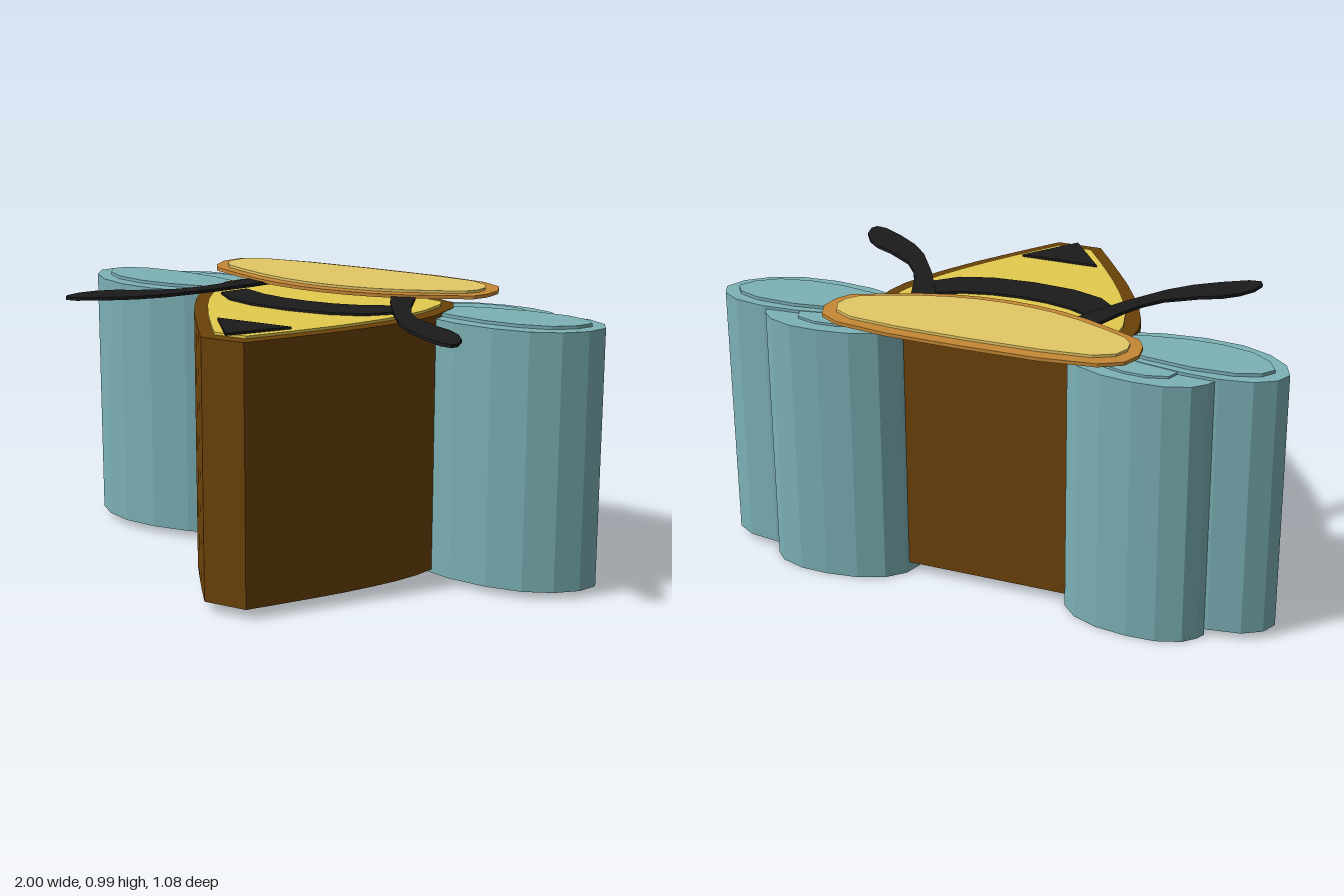
import * as THREE from 'three';

const mat = (name, color) => {
  const m = new THREE.MeshStandardMaterial({ color });
  m.name = name;
  return m;
};

export function createModel() {
  const group = new THREE.Group();
  const brown = mat('brown', 0x6b4208);
  const yellow = mat('yellow', 0xe3ca4c);
  const black = mat('black', 0x1b1b1b);
  const orange = mat('orange', 0xc68836);
  const tan = mat('tan', 0xe4c866);
  const teal = mat('teal', 0x7cb1b6);

  // Upright slab from y0 to y1 over an outline of [x, z] points
  function slab(name, pts, y0, y1, material) {
    const shape = new THREE.Shape(pts.map(([x, z]) => new THREE.Vector2(x, -z)));
    const geo = new THREE.ExtrudeGeometry(shape, { depth: y1 - y0, bevelEnabled: false });
    geo.rotateX(-Math.PI / 2);
    const mesh = new THREE.Mesh(geo, material);
    mesh.name = name;
    mesh.position.y = y0;
    group.add(mesh);
  }
  const flip = (pts) => pts.map(([x, z]) => [-x, z]);
  // Completes a half outline across x = 0
  const whole = (half) => [...half, ...flip(half.filter(([x]) => x > 0)).reverse()];
  const pair = (name, pts, y0, y1, material) => {
    slab('left' + name, pts, y0, y1, material);
    slab('right' + name, flip(pts), y0, y1, material);
  };

  // Body column with its yellow top and dark markings
  slab('body', whole([[0.36, -0.345], [0.42, -0.315], [0.45, -0.25], [0.45, -0.11], [0.43, -0.03],
    [0.392, 0.06], [0.343, 0.15], [0.283, 0.25], [0.215, 0.35], [0.145, 0.45], [0.08, 0.54]]),
    0.036, 0.943, brown);
  slab('bodyTop', whole([[0.33, -0.295], [0.39, -0.28], [0.408, -0.235], [0.4, -0.12], [0.375, -0.03],
    [0.338, 0.06], [0.29, 0.15], [0.235, 0.24], [0.175, 0.33], [0.115, 0.415], [0.06, 0.49]]),
    0.943, 0.952, yellow);
  slab('stripe', whole([[0, -0.033], [0.1, -0.04], [0.19, -0.062], [0.285, -0.107], [0.335, -0.015],
    [0.26, 0.055], [0.15, 0.092], [0, 0.104]]), 0.952, 0.96, black);
  slab('stinger', [[-0.14, 0.335], [0.14, 0.335], [0, 0.52]], 0.952, 0.96, black);

  // Head plate and face
  slab('head', whole([[0, -0.54], [0.26, -0.535], [0.45, -0.51], [0.525, -0.465], [0.55, -0.4],
    [0.54, -0.33], [0.51, -0.28], [0.42, -0.238], [0.3, -0.185], [0.2, -0.155], [0.1, -0.138],
    [0, -0.132]]), 0.971, 0.983, orange);
  slab('face', whole([[0, -0.495], [0.25, -0.49], [0.42, -0.472], [0.487, -0.435], [0.507, -0.385],
    [0.5, -0.34], [0.47, -0.302], [0.4, -0.268], [0.28, -0.22], [0.18, -0.192], [0.09, -0.178],
    [0, -0.174]]), 0.983, 0.992, tan);

  // Curved feelers
  pair('Antenna', [[0.24, -0.19], [0.25, -0.225], [0.29, -0.242], [0.325, -0.21], [0.38, -0.06],
    [0.42, 0.02], [0.47, 0.085], [0.57, 0.155], [0.64, 0.19], [0.69, 0.235], [0.725, 0.29],
    [0.737, 0.345], [0.725, 0.368], [0.685, 0.362], [0.6, 0.31], [0.52, 0.25], [0.45, 0.175],
    [0.355, 0.03], [0.275, -0.115]], 0.964, 0.975, black);

  // Large wings with raised inner panel
  pair('LargeWing', [[1, -0.256], [0.975, -0.31], [0.91, -0.35], [0.8, -0.367], [0.68, -0.36],
    [0.54, -0.335], [0.38, -0.295], [0.26, -0.245], [0.22, -0.2], [0.28, -0.155], [0.4, -0.125],
    [0.53, -0.085], [0.67, -0.071], [0.8, -0.083], [0.9, -0.125], [0.97, -0.185]], 0.024, 0.93, teal);
  pair('LargeWingPanel', [[0.952, -0.256], [0.92, -0.3], [0.84, -0.328], [0.7, -0.333], [0.54, -0.31],
    [0.38, -0.26], [0.3, -0.215], [0.38, -0.175], [0.5, -0.145], [0.62, -0.125], [0.74, -0.125],
    [0.85, -0.15], [0.92, -0.2]], 0.93, 0.941, teal);

  // Small wings behind, slightly lower
  pair('SmallWing', [[0.79, -0.365], [0.775, -0.395], [0.735, -0.435], [0.65, -0.464], [0.55, -0.467],
    [0.44, -0.452], [0.35, -0.415], [0.295, -0.36], [0.275, -0.295], [0.295, -0.235], [0.35, -0.2],
    [0.45, -0.19], [0.58, -0.205], [0.69, -0.245], [0.76, -0.3]], 0, 0.92, teal);
  pair('SmallWingPanel', [[0.665, -0.36], [0.65, -0.4], [0.58, -0.42], [0.5, -0.415], [0.41, -0.385],
    [0.35, -0.32], [0.36, -0.26], [0.44, -0.235], [0.56, -0.255], [0.64, -0.305]], 0.92, 0.928, teal);

  return group;
}
